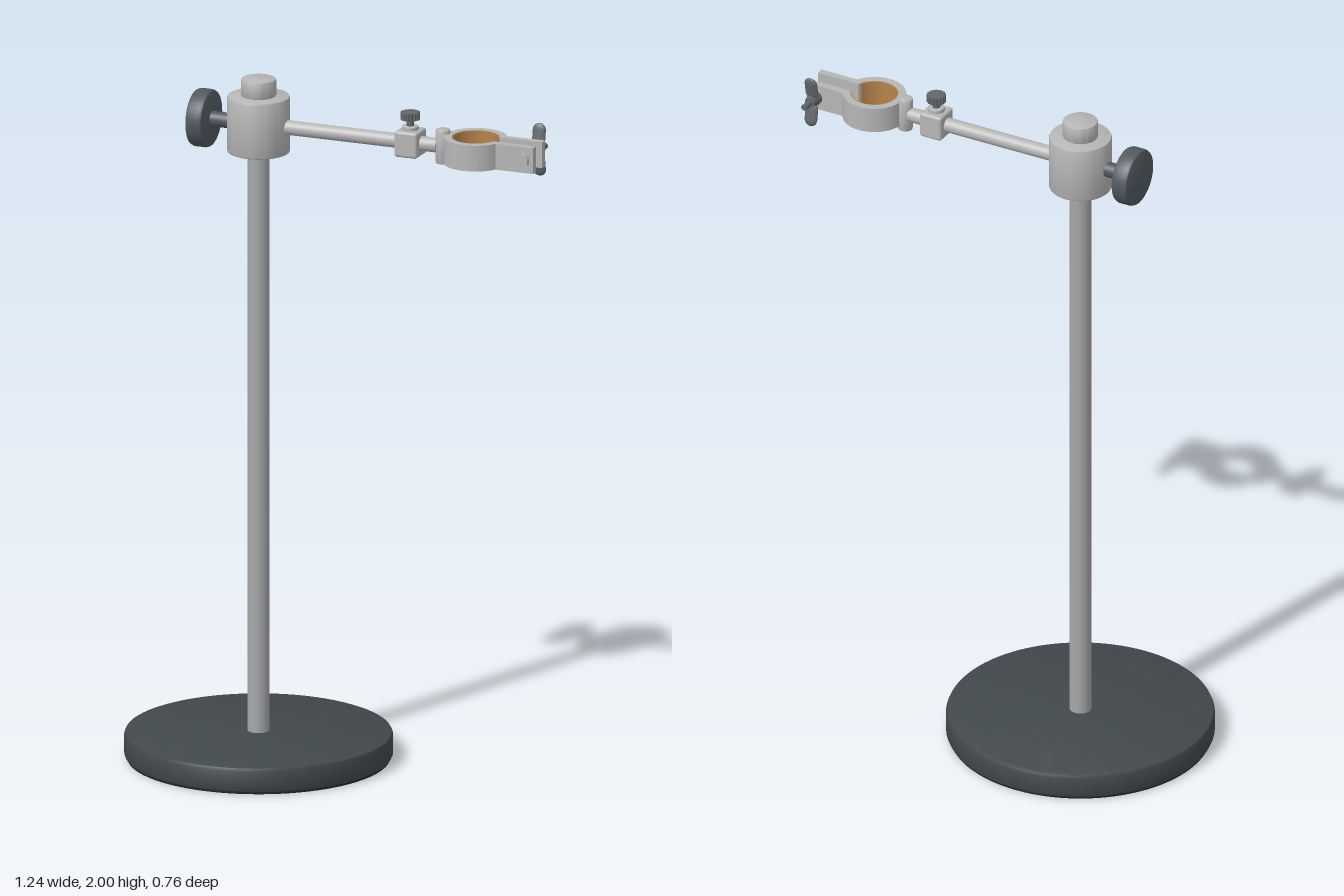
import * as THREE from 'three';
import { toCreasedNormals } from 'three/addons/utils/BufferGeometryUtils.js';
import { RoundedBoxGeometry } from 'three/addons/geometries/RoundedBoxGeometry.js';

const mat = (name, color) => {
  const m = new THREE.MeshStandardMaterial({ color });
  m.name = name;
  return m;
};

export function createModel() {
  const steel = mat('brushed steel', 0xb6b6b6);
  const poleSteel = mat('pole steel', 0xa6a7a9);
  const iron = mat('painted iron', 0x41484c);
  const rubber = mat('black rubber', 0x222223);
  const plastic = mat('knob grey', 0x515a60);
  const darkSteel = mat('dark steel', 0x63676a);
  const cork = mat('cork', 0xb5824c);

  const model = new THREE.Group();
  model.name = 'clampStand';
  const poleX = -0.24, armY = 1.865, ringX = 0.425, boltX = 0.59;

  const add = (name, geometry, material, x = 0, y = 0, z = 0, parent = model) => {
    const mesh = new THREE.Mesh(geometry, material);
    mesh.name = name;
    mesh.position.set(x, y, z);
    parent.add(mesh);
    return mesh;
  };

  // Solid disc or rod with bevelled rims, centred, standing along y
  const turned = (r, h, bevel = 0.004, segments = 48) => toCreasedNormals(new THREE.LatheGeometry([
    [0, -h / 2], [r - bevel, -h / 2], [r - bevel * 0.3, -h / 2 + bevel * 0.3], [r, -h / 2 + bevel],
    [r, h / 2 - bevel], [r - bevel * 0.3, h / 2 - bevel * 0.3], [r - bevel, h / 2], [0, h / 2],
  ].map(([x, y]) => new THREE.Vector2(x, y)), segments), 0.5);
  const alongX = (g) => g.rotateZ(Math.PI / 2);
  const alongZ = (g) => g.rotateX(Math.PI / 2);

  // Disc with a toothed rim, along y
  const knurled = (r, h, teeth, depth) => {
    const s = new THREE.Shape();
    for (let i = 0; i < teeth * 2; i++) {
      const a = (i * Math.PI) / teeth, q = i % 2 ? r - depth : r;
      s[i ? 'lineTo' : 'moveTo'](q * Math.cos(a), q * Math.sin(a));
    }
    s.closePath();
    return new THREE.ExtrudeGeometry(s, { depth: h, bevelEnabled: false })
      .translate(0, 0, -h / 2).rotateX(Math.PI / 2);
  };

  // Base and pole
  add('base', turned(0.38, 0.076, 0.012, 96), iron, poleX, 0.042);
  add('basePad', new THREE.CylinderGeometry(0.372, 0.372, 0.008, 96), rubber, poleX, 0.004);
  add('pole', new THREE.CylinderGeometry(0.031, 0.031, 1.75, 40), poleSteel, poleX, 0.945);

  // Clamp head with its top cap
  add('head', turned(0.089, 0.166, 0.006, 64), steel, poleX, 1.867);
  add('cap', turned(0.05, 0.052, 0.005), steel, poleX, 1.974);

  // Side locking knob
  add('knobStem', alongX(new THREE.CylinderGeometry(0.022, 0.022, 0.08, 32)), plastic, -0.352, armY);
  add('knob', alongX(turned(0.083, 0.052, 0.01, 40)), plastic, -0.408, armY);

  // Arm with sliding collar and thumbscrew
  add('arm', alongX(new THREE.CylinderGeometry(0.021, 0.021, 0.48, 32)), steel, 0.07, armY);
  add('collar', new RoundedBoxGeometry(0.07, 0.076, 0.076, 3, 0.008), steel, 0.225, armY);
  add('collarNeck', turned(0.024, 0.014, 0.003, 32), steel, 0.225, 1.907);
  add('thumbscrewStem', new THREE.CylinderGeometry(0.011, 0.011, 0.04, 24), darkSteel, 0.225, 1.92);
  add('thumbscrewHead', knurled(0.028, 0.022, 18, 0.003), darkSteel, 0.225, 1.943);

  // Hinge pin joining arm and ring
  add('hinge', turned(0.021, 0.1, 0.004, 32), steel, 0.325, armY);

  // Split ring with two parallel tabs, drawn in plan and extruded upwards
  const tabEnd = 0.195, tabOut = 0.043, tabIn = 0.022, outer = 0.09, inner = 0.068;
  const a0 = Math.asin(tabOut / outer), a1 = Math.asin(tabIn / inner), full = Math.PI * 2;
  const extrudeUp = (shape, h) => toCreasedNormals(
    new THREE.ExtrudeGeometry(shape, { depth: h, bevelEnabled: false, curveSegments: 48 })
      .translate(0, 0, -h / 2).rotateX(Math.PI / 2), 0.4);
  const ring = new THREE.Shape();
  ring.absarc(0, 0, outer, a0, full - a0, false);
  ring.lineTo(tabEnd, -tabOut);
  ring.lineTo(tabEnd, -tabIn);
  ring.absarc(0, 0, inner, full - a1, a1, true);
  ring.lineTo(tabEnd, tabIn);
  ring.lineTo(tabEnd, tabOut);
  ring.closePath();
  add('clampRing', extrudeUp(ring, 0.076), steel, ringX, armY);

  // Cork lining inside the ring
  const lining = new THREE.Shape();
  lining.absarc(0, 0, inner + 0.001, 0.45, full - 0.45, false);
  lining.absarc(0, 0, inner - 0.004, full - 0.45, 0.45, true);
  lining.closePath();
  add('corkLining', extrudeUp(lining, 0.074), cork, ringX, armY);

  // Cross bolt with hex head
  add('bolt', alongZ(new THREE.CylinderGeometry(0.009, 0.009, 0.165, 24)), darkSteel, boltX, armY, -0.031);
  add('boltHead', alongZ(new THREE.CylinderGeometry(0.02, 0.02, 0.016, 6).toNonIndexed()), steel,
    boltX, armY, 0.05);

  // Wing nut at the back
  const nut = new THREE.Group();
  nut.name = 'wingNut';
  nut.position.set(boltX, armY, 0);
  model.add(nut);
  add('washer', alongZ(turned(0.021, 0.014, 0.003, 32)), darkSteel, 0, 0, -0.05, nut);
  add('nutBody', alongZ(new THREE.CylinderGeometry(0.02, 0.015, 0.026, 32)), darkSteel, 0, 0, -0.068, nut);
  for (const side of [1, -1]) {
    const wing = add('wing', new THREE.CapsuleGeometry(0.02, 0.032, 8, 24), darkSteel,
      0, side * 0.042, -0.07, nut);
    wing.scale.z = 0.38;
    wing.rotation.x = -side * 0.18;
  }
  return model;
}
